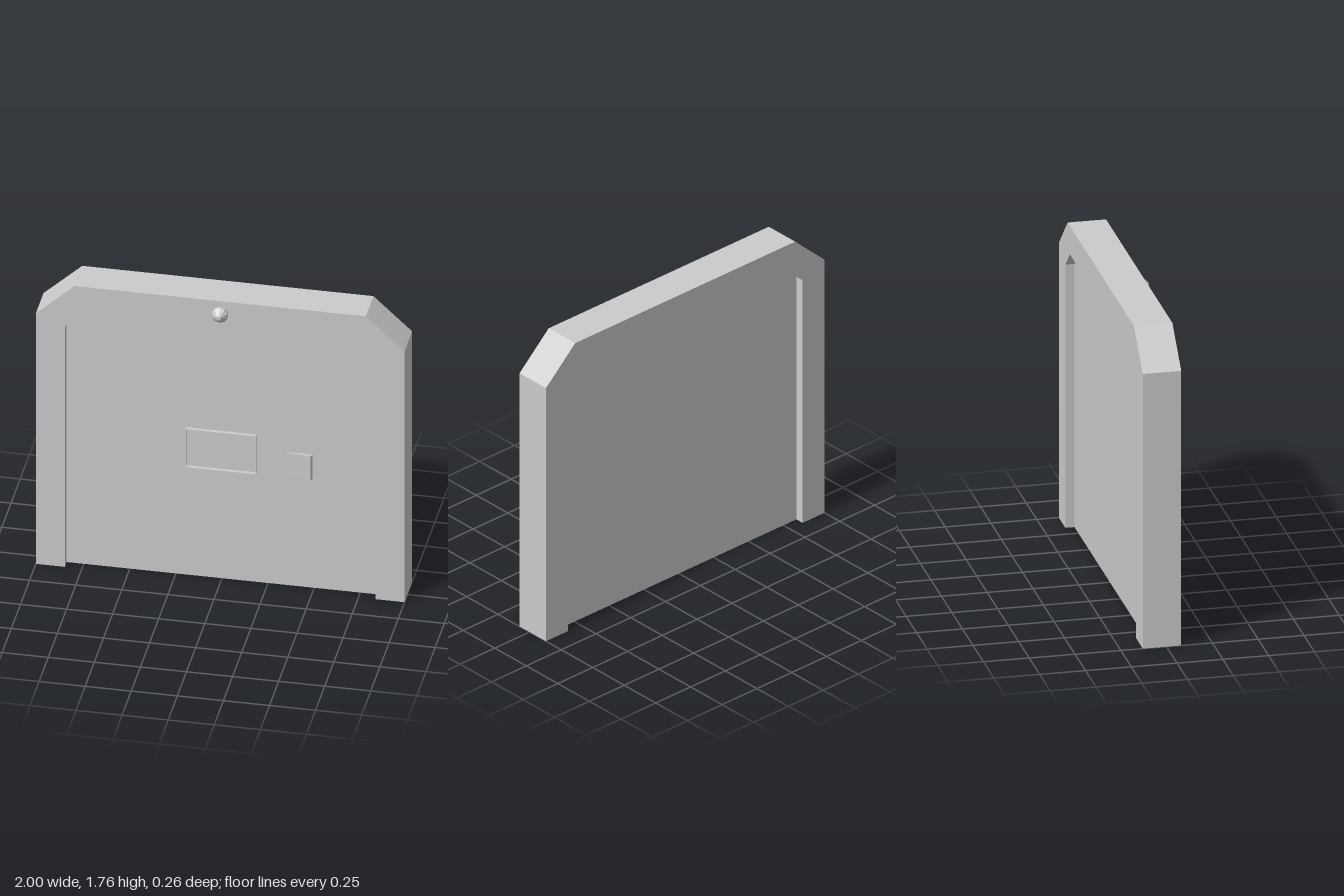
import * as THREE from 'three';

const material = new THREE.MeshStandardMaterial({ color: 0xcccccc, flatShading: true, side: THREE.DoubleSide });

// Half outline of a door with clipped top corners, mirrored into a full one
function archPoints(halfWidth, shoulder, topHalf, top) {
  const half = [[halfWidth, 0], [halfWidth, shoulder], [topHalf, top]];
  const mirrored = half.map(([x, y]) => [-x, y]).reverse();
  return [...half, ...mirrored].map(([x, y]) => new THREE.Vector2(x, y));
}

function extrude(shape, z0, z1) {
  const g = new THREE.ExtrudeGeometry(shape, { depth: z1 - z0, bevelEnabled: false });
  return g.translate(0, 0, z0);
}

function rectPoints(x0, x1, y0, y1) {
  return [[x0, y0], [x1, y0], [x1, y1], [x0, y1]].map(([x, y]) => new THREE.Vector2(x, y));
}

export function createModel() {
  const group = new THREE.Group();
  const add = (name, geometry) => {
    const mesh = new THREE.Mesh(geometry, material);
    mesh.name = name;
    group.add(mesh);
    return mesh;
  };
  const panelFront = 0.03, panelBack = -0.08, frameFront = 0.08, frameBack = -0.13;

  // Surrounding frame, open at the bottom
  const outer = archPoints(1, 1.565, 0.79, 1.76);
  const inner = archPoints(0.843, 1.5, 0.735, 1.6);
  add('doorFrame', extrude(new THREE.Shape([...outer, ...inner.slice().reverse()]), frameBack, frameFront));

  // Door panel, recessed on both faces
  add('doorPanel', extrude(new THREE.Shape(inner), panelBack, panelFront));

  // Thin raised rim around the window
  const rim = new THREE.Shape(rectPoints(-0.195, 0.19, 0.68, 0.92));
  rim.holes.push(new THREE.Path(rectPoints(-0.192, 0.187, 0.683, 0.917)));
  add('windowRim', extrude(rim, panelFront, panelFront + 0.02));

  // Wedge-shaped pull, thickest at its right-hand edge
  const wedge = new THREE.Shape([[0.35, 0], [0.49, 0], [0.485, -0.018], [0.35, -0.004]]
    .map(([x, y]) => new THREE.Vector2(x, y)));
  const pull = extrude(wedge, 0.68, 0.83).rotateX(-Math.PI / 2);
  // After the turn, the profile's -y points to +z
  add('pullPlate', pull.translate(0, 0, panelFront));

  // Signal lamp above the door
  const profile = [[0, 0], [0.045, 0], [0.045, 0.016], [0.021, 0.04], [0.013, 0.05], [0, 0.05]]
    .map(([r, h]) => new THREE.Vector2(r, h));
  const lamp = add('signalLamp', new THREE.LatheGeometry(profile, 10).rotateX(Math.PI / 2));
  lamp.position.set(0, 1.68, frameFront);

  return group;
}
